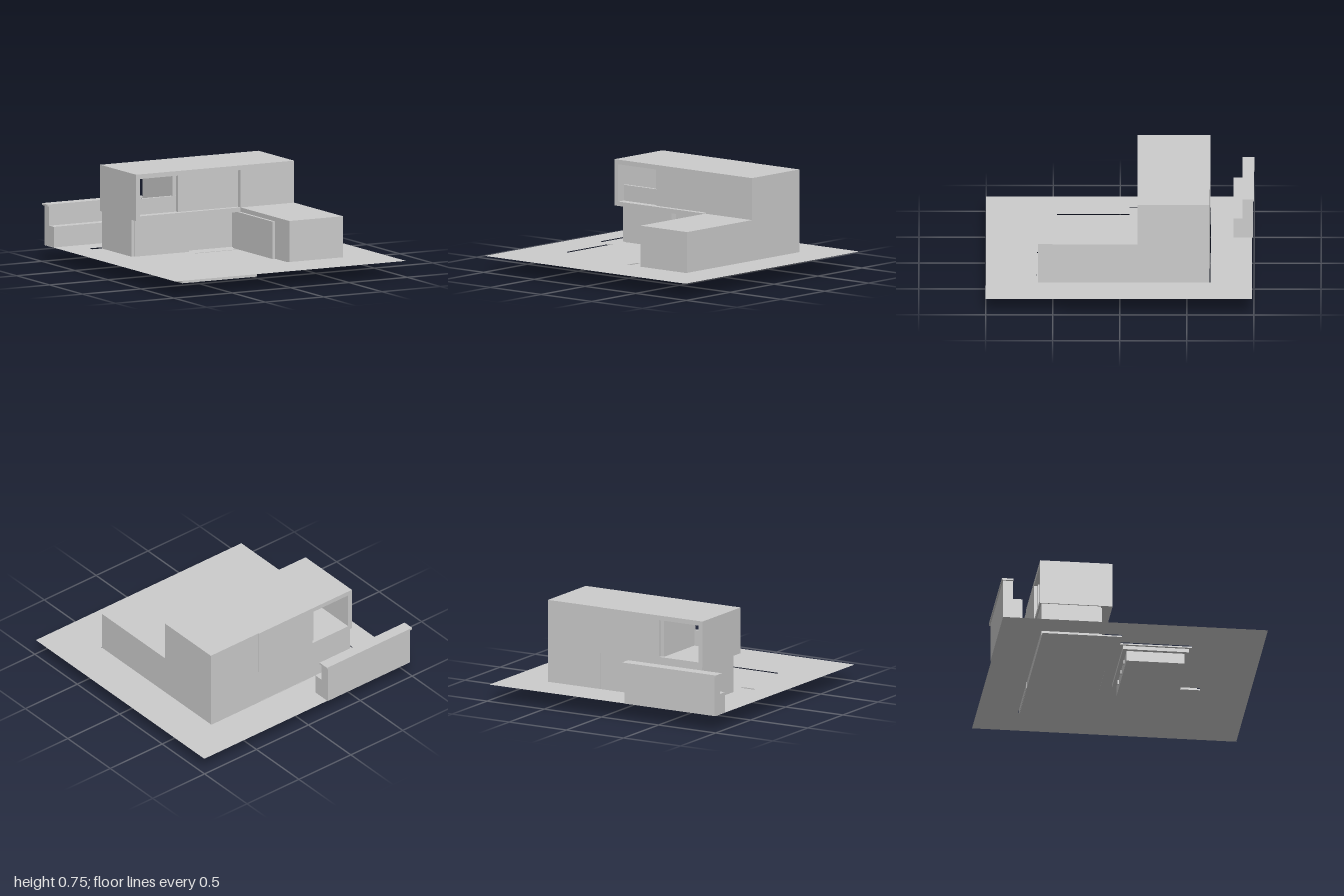
import * as THREE from 'three';

const grey = new THREE.MeshStandardMaterial({ color: 0xcccccc, flatShading: true });
const thin = new THREE.MeshStandardMaterial({ color: 0xcccccc, side: THREE.DoubleSide });

// Box given by its lower and upper bounds on each axis
function box(parent, name, [x0, x1], [y0, y1], [z0, z1]) {
  const mesh = new THREE.Mesh(new THREE.BoxGeometry(x1 - x0, y1 - y0, z1 - z0), grey);
  mesh.name = name;
  mesh.position.set((x0 + x1) / 2, (y0 + y1) / 2, (z0 + z1) / 2);
  parent.add(mesh);
  return mesh;
}

// Plan points are [x, z]; shapes are drawn with z negated so they lie flat when turned
const plan = (pts, Type = THREE.Shape) => new Type(pts.map(([x, z]) => new THREE.Vector2(x, -z)));

// Terrace outline, with the position of its back edge
const terraceOutline = (back) => [
  [-0.78, back], [0.67, back], [0.67, 0.62], [0.085, 0.62],
  [0.085, 0.47], [-0.65, 0.47], [-0.65, -0.07], [-0.78, -0.07],
];

function group(parent, name) {
  const g = new THREE.Group();
  g.name = name;
  parent.add(g);
  return g;
}

export function createModel() {
  const model = new THREE.Group();
  model.name = 'house';

  // Flat plot with a cut-out for the terrace
  const plot = plan([[-0.99, -0.985], [0.99, -0.985], [0.99, 1], [-0.99, 1]]);
  plot.holes.push(plan(terraceOutline(-0.677), THREE.Path));
  const ground = new THREE.Mesh(new THREE.ShapeGeometry(plot), thin);
  ground.name = 'ground';
  ground.rotation.x = -Math.PI / 2;
  ground.position.y = 0.125;
  model.add(ground);

  // Terrace slab, slightly sunk into the plot
  const slab = new THREE.ExtrudeGeometry(plan(terraceOutline(-0.667)), { depth: 0.01, bevelEnabled: false });
  const terrace = new THREE.Mesh(slab, grey);
  terrace.name = 'terrace';
  terrace.rotation.x = -Math.PI / 2;
  terrace.position.y = 0.108;
  model.add(terrace);

  // Pool basin below the terrace
  const pool = group(model, 'pool');
  box(pool, 'poolBasin', [-0.6, 0.04], [0, 0.08], [-0.015, 0.42]);
  box(pool, 'poolRim', [-0.63, 0.065], [0.08, 0.108], [-0.045, 0.45]);
  for (const x of [-0.46, -0.28, -0.1]) {
    for (const z of [-0.018, 0.423]) {
      box(pool, 'poolFitting', [x - 0.012, x + 0.012], [0.035, 0.065], [z - 0.005, z + 0.005]);
    }
  }

  // L-shaped side wing, tall at the back
  const profile = new THREE.Shape([
    [-0.61, 0.115], [0.67, 0.115], [0.67, 0.75], [0.13, 0.75], [0.13, 0.433], [-0.61, 0.433],
  ].map(([a, b]) => new THREE.Vector2(a, b)));
  const wing = new THREE.Mesh(new THREE.ExtrudeGeometry(profile, { depth: 0.46, bevelEnabled: false }), grey);
  wing.name = 'sideWing';
  wing.rotation.y = Math.PI / 2;
  wing.position.x = 0.21;
  model.add(wing);
  box(model, 'wingSidePanel', [0.187, 0.21], [0.118, 0.4], [-0.2, 0.395]);

  // Lower floor set back under the upper floor
  const lower = group(model, 'lowerFloor');
  box(lower, 'lowerBody', [-0.675, 0.21], [0.118, 0.4], [-0.665, -0.26]);
  box(lower, 'lowerFrontWall', [-0.675, -0.65], [0.118, 0.4], [-0.26, -0.215]);
  box(lower, 'lowerFrontPanel', [-0.65, -0.19], [0.118, 0.4], [-0.26, -0.205]);
  box(lower, 'doorStep', [-0.18, 0.175], [0.106, 0.121], [-0.13, -0.115]);

  // Upper floor: open frame, closed room and see-through balcony
  const upper = group(model, 'upperFloor');
  const depth = [-0.675, -0.13];
  box(upper, 'roofSlab', [-0.685, 0.21], [0.715, 0.75], depth);
  box(upper, 'floorSlab', [-0.685, 0.21], [0.4, 0.433], depth);
  box(upper, 'endWall', [-0.685, -0.65], [0.433, 0.715], depth);
  box(upper, 'upperRoom', [-0.305, 0.21], [0.433, 0.715], [-0.675, -0.17]);
  box(upper, 'balconyJamb', [-0.335, -0.305], [0.433, 0.715], [-0.65, -0.2]);
  box(upper, 'balconyParapet', [-0.65, -0.305], [0.433, 0.552], [-0.22, -0.195]);

  // Boundary wall with a low bench and a coping
  const fence = group(model, 'boundaryWall');
  box(fence, 'wallBody', [-0.985, -0.195], [0.125, 0.428], [-0.99, -0.915]);
  box(fence, 'wallBench', [-0.985, -0.195], [0.125, 0.28], [-0.915, -0.845]);
  box(fence, 'wallCoping', [-1, -0.18], [0.426, 0.44], [-1, -0.912]);

  return model;
}
